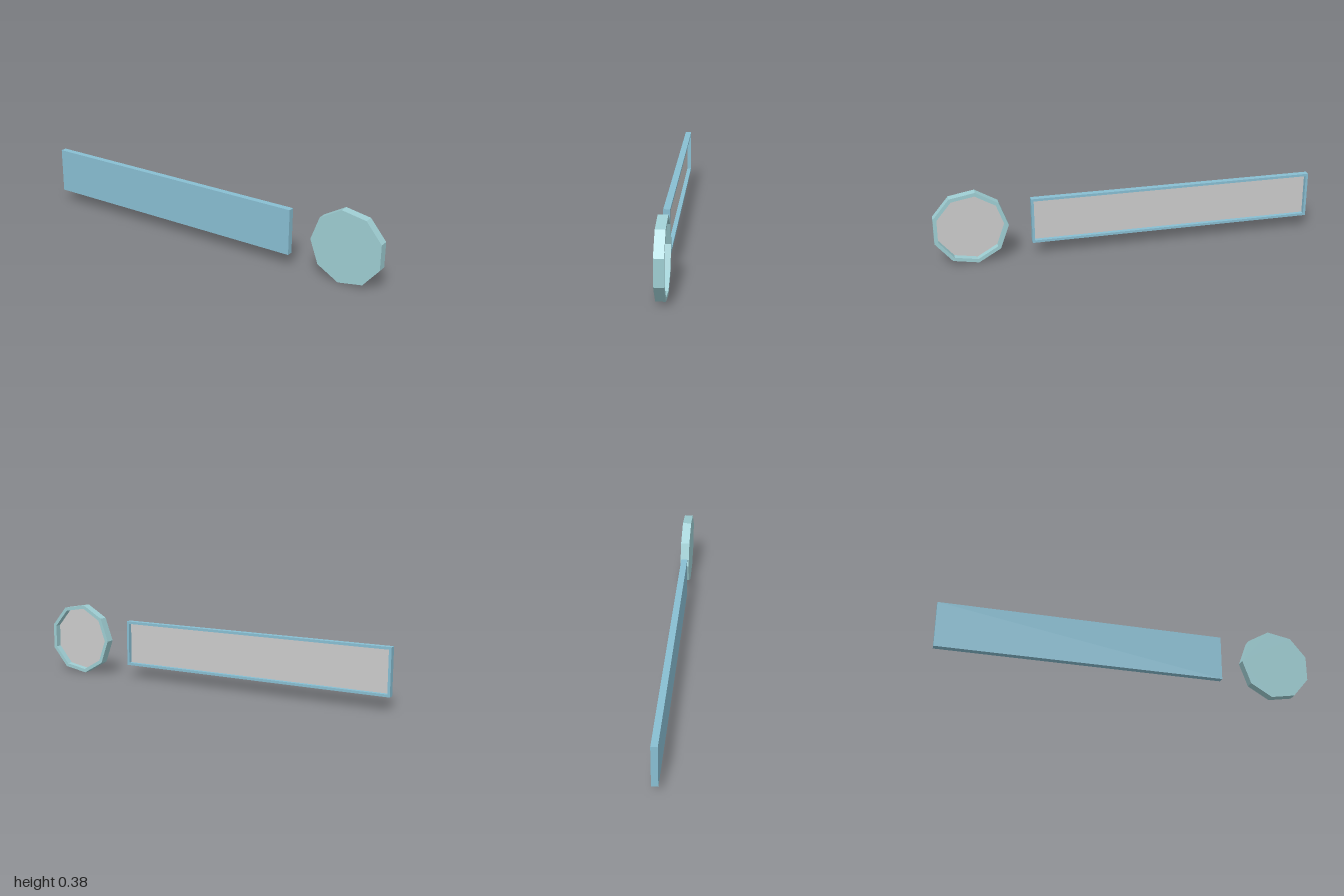
import * as THREE from 'three';

// Flat-shaded mesh from a list of triangle corners
function facetMesh(name, corners, color) {
  const geometry = new THREE.BufferGeometry();
  geometry.setAttribute('position', new THREE.Float32BufferAttribute(corners.flat(), 3));
  geometry.computeVertexNormals();
  const mesh = new THREE.Mesh(geometry, new THREE.MeshStandardMaterial({ color, flatShading: true }));
  mesh.name = name;
  return mesh;
}

// Shallow tray open towards +x; outer and inner are [z, y] outlines, counter-clockwise seen from +x
function tray(name, outer, inner, xBack, xFloor, xFront, color) {
  const at = (outline, x) => outline.map(([z, y]) => [x, y, z]);
  const loops = [at(outer, xBack), at(outer, xFront), at(inner, xFront), at(inner, xFloor)];
  const n = outer.length;
  const shell = [], floor = [];
  // Outer wall, rim and inner wall
  for (let k = 0; k < 3; k++) {
    const a = loops[k], b = loops[k + 1];
    for (let i = 0; i < n; i++) {
      const j = (i + 1) % n;
      shell.push(a[i], a[j], b[j], a[i], b[j], b[i]);
    }
  }
  // Closed back and recessed floor
  for (let i = 1; i < n - 1; i++) {
    shell.push(loops[0][0], loops[0][i + 1], loops[0][i]);
    floor.push(loops[3][0], loops[3][i], loops[3][i + 1]);
  }
  const group = new THREE.Group();
  group.name = name;
  group.add(facetMesh(name + 'Frame', shell, color), facetMesh(name + 'Panel', floor, 0xcccccc));
  return group;
}

// Rectangle outline, shrunk by an inset
const rectangle = (z0, z1, y0, y1, inset) => [
  [z1 - inset, y0 + inset], [z0 + inset, y0 + inset],
  [z0 + inset, y1 - inset], [z1 - inset, y1 - inset],
];

// Regular polygon outline with one corner pointing to -z
const polygon = (sides, radius, z, y) => Array.from({ length: sides }, (_, i) => {
  const a = (i / sides) * Math.PI * 2;
  return [z - radius * Math.cos(a), y + radius * Math.sin(a)];
});

export function createModel() {
  const model = new THREE.Group();
  model.name = 'framedPanels';

  // Long rectangular tray
  model.add(tray('longTray',
    rectangle(-1, 0.505, 0.07, 0.312, 0),
    rectangle(-1, 0.505, 0.07, 0.312, 0.013),
    -0.025, -0.014, 0.008, 0x88bed2));

  // Nine-sided round tray
  model.add(tray('roundTray',
    polygon(9, 0.1934, 0.818, 0.1905),
    polygon(9, 0.174, 0.818, 0.1905),
    -0.023, -0.009, 0.024, 0x9ecdd2));

  return model;
}
